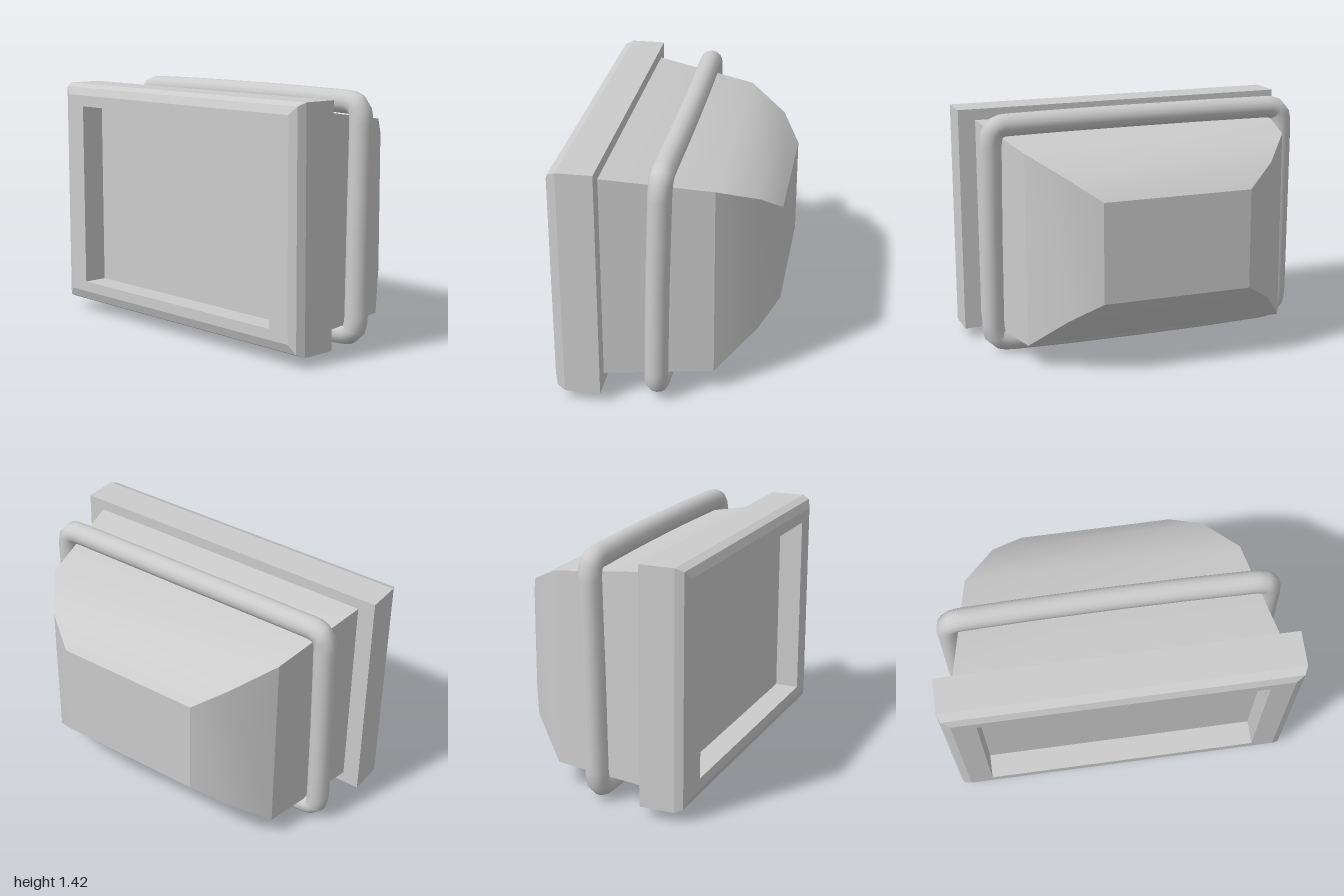
import * as THREE from 'three';
import { toCreasedNormals } from 'three/addons/utils/BufferGeometryUtils.js';

// Joins rectangular sections [z, halfWidth, bottomY, topY], listed back to front, and caps both ends
function loftRects(sections, crease) {
  const pos = [];
  const rings = sections.map(([z, x, y0, y1]) => [[-x, y0, z], [x, y0, z], [x, y1, z], [-x, y1, z]]);
  const quad = (a, b, c, d) => pos.push(...a, ...b, ...c, ...a, ...c, ...d);
  for (let s = 0; s < rings.length - 1; s++) {
    for (let i = 0; i < 4; i++) {
      const j = (i + 1) % 4;
      quad(rings[s][i], rings[s][j], rings[s + 1][j], rings[s + 1][i]);
    }
  }
  const first = rings[0], last = rings[rings.length - 1];
  quad(first[3], first[2], first[1], first[0]);
  quad(...last);
  const geo = new THREE.BufferGeometry();
  geo.setAttribute('position', new THREE.Float32BufferAttribute(pos, 3));
  return toCreasedNormals(geo, crease);
}

export function createModel() {
  const group = new THREE.Group();
  const material = new THREE.MeshStandardMaterial({ color: 0xcccccc });
  const add = (name, geometry) => {
    const mesh = new THREE.Mesh(geometry, material);
    mesh.name = name;
    group.add(mesh);
  };

  // Bevelled front frame, folding inward to the recessed screen
  add('screenFrame', loftRects([
    [0.33, 1, 0.06, 1.39],
    [0.53, 1, 0.06, 1.39],
    [0.575, 0.98, 0.08, 1.37],
    [0.595, 0.935, 0.13, 1.325],
    [0.595, 0.8, 0.19, 1.26],
    [0.455, 0.8, 0.19, 1.26],
  ], 0.1));

  // Rear housing, tapering in steps to a flat back
  add('rearHousing', loftRects([
    [-0.595, 0.435, 0.435, 1.01],
    [-0.49, 0.605, 0.325, 1.13],
    [-0.27, 0.78, 0.13, 1.24],
    [0.33, 0.9, 0.13, 1.325],
  ], THREE.MathUtils.degToRad(25)));

  // Slightly tilted and bowed cable wrapped around the housing
  const half = [
    [0.4, 1.356, -0.006], [0.82, 1.35, 0], [0.88, 1.325, 0], [0.897, 1.25, 0.003],
    [0.902, 0.7, 0.02], [0.903, 0.17, 0.031], [0.885, 0.095, 0.034], [0.81, 0.075, 0.034], [0.4, 0.067, 0.03],
  ];
  const points = [
    [0, 1.357, -0.008], ...half, [0, 0.066, 0.028],
    ...half.slice().reverse().map(([x, y, z]) => [-x, y, z]),
  ].map((p) => new THREE.Vector3(...p));
  const path = new THREE.CatmullRomCurve3(points, true, 'catmullrom', 0.15);
  add('wrappedCable', new THREE.TubeGeometry(path, 160, 0.065, 14, true));

  return group;
}
